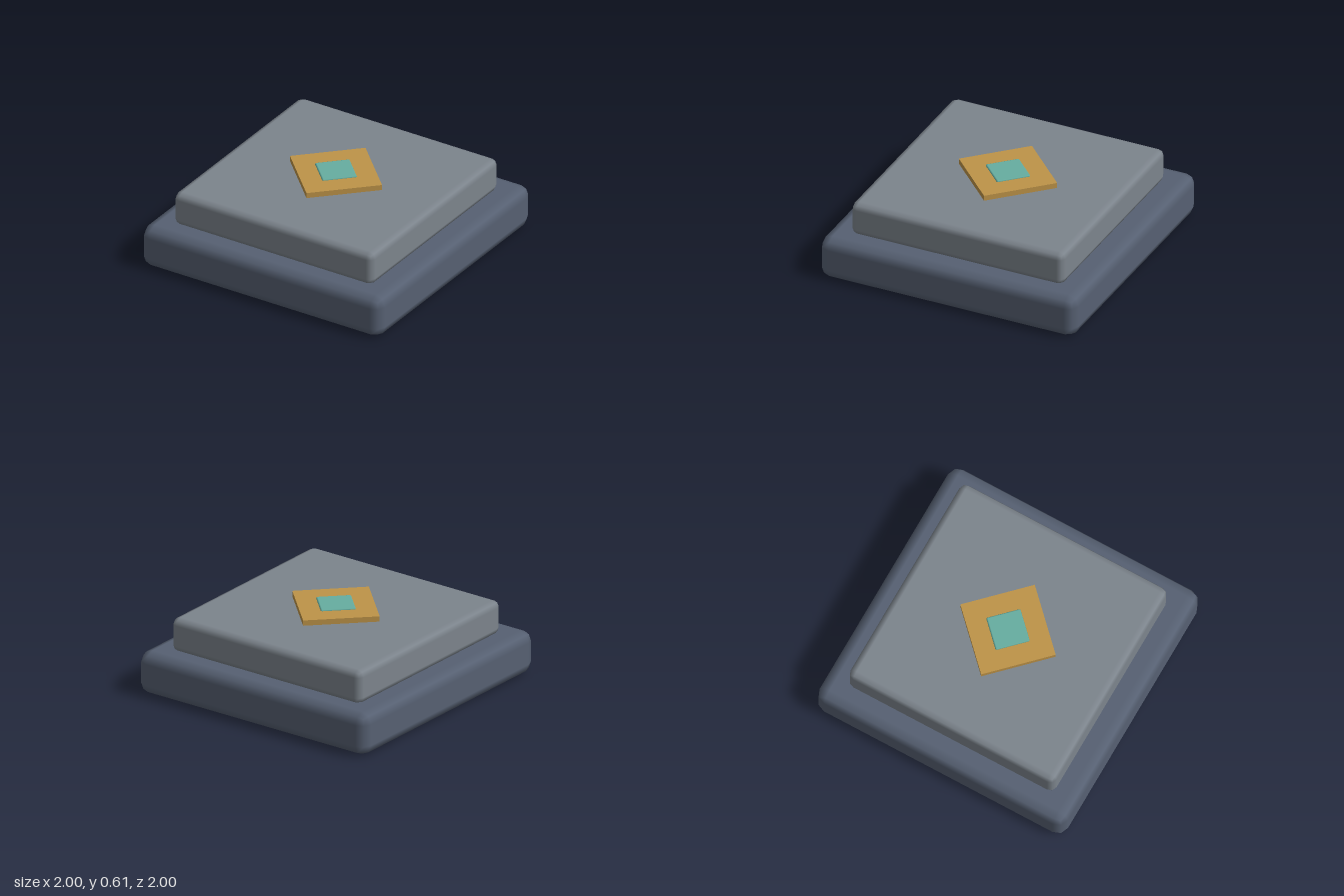
import * as THREE from 'three';
import { RoundedBoxGeometry } from 'three/addons/geometries/RoundedBoxGeometry.js';

export function createModel() {
  const group = new THREE.Group();

  // Square slab between two heights; a radius gives it softened edges
  function slab(name, size, bottom, top, radius, color, turn = 0) {
    const height = top - bottom;
    const geometry = radius
      ? new RoundedBoxGeometry(size, height, size, 1, radius)
      : new THREE.BoxGeometry(size, height, size);
    const mesh = new THREE.Mesh(geometry, new THREE.MeshStandardMaterial({ color }));
    mesh.name = name;
    mesh.position.y = (bottom + top) / 2;
    mesh.rotation.y = turn;
    group.add(mesh);
  }

  // Stepped plinth
  slab('base', 2, 0, 0.32, 0.08, 0x566072);
  slab('upperStep', 1.66, 0.305, 0.56, 0.05, 0x7c848c);

  // Diamond inlay on top
  slab('diamondPlate', 0.543, 0.56, 0.6, 0, 0xbd9348, Math.PI / 4);
  slab('diamondInlay', 0.25, 0.575, 0.61, 0.01, 0x66ada0, Math.PI / 4);

  return group;
}
